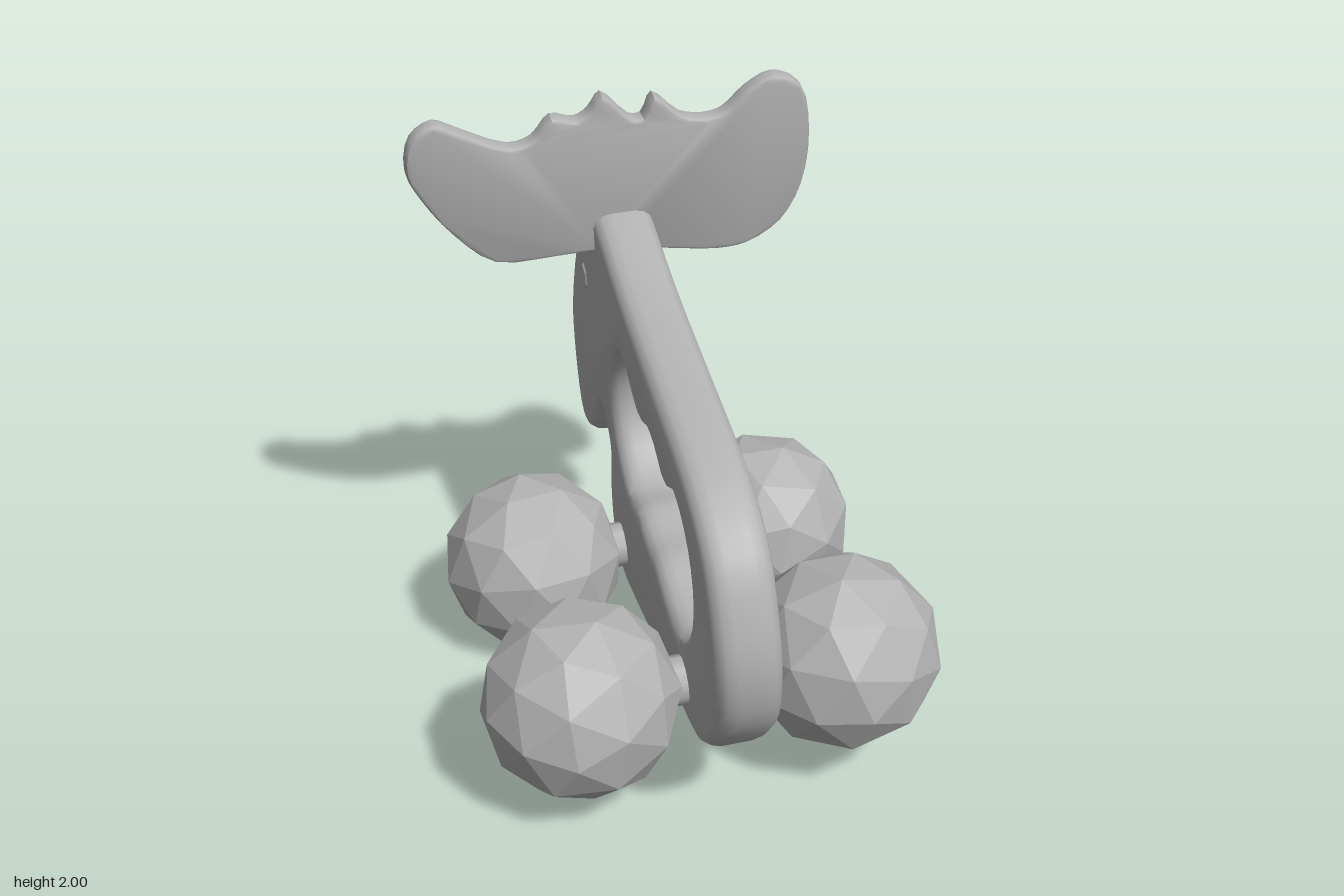
import * as THREE from 'three';
import { toCreasedNormals } from 'three/addons/utils/BufferGeometryUtils.js';

// Toy axes: forward, up and sideways (the toy stands turned and slightly tilted)
const side = new THREE.Vector3(0.776, 0.053, 0.628).normalize();
const up = new THREE.Vector3(0.02, 0.997, -0.108).normalize();
const fwd = new THREE.Vector3().crossVectors(up, side).normalize();
up.crossVectors(side, fwd);
const PLANE = 0.055;

// A point of the body's middle plane, given by world z and y, in toy axes
function onPlane([z, y]) {
  const p = new THREE.Vector3((PLANE - side.y * y - side.z * z) / side.x, y, z);
  return new THREE.Vector2(p.dot(fwd), p.dot(up));
}

// Closed smooth loop through points
function loop(points, count) {
  const curve = new THREE.CatmullRomCurve3(
    points.map((p) => new THREE.Vector3(p.x, p.y, 0)), true, 'centripetal');
  return curve.getPoints(count).slice(0, -1).map((p) => new THREE.Vector2(p.x, p.y));
}

// Rounded slab centred on its own middle plane
function slab(shape, thickness, bevelSize, bevelThickness) {
  const depth = thickness - 2 * bevelThickness;
  const geo = new THREE.ExtrudeGeometry(shape, {
    depth, bevelEnabled: true, bevelSize, bevelThickness, bevelOffset: -bevelSize, bevelSegments: 3,
  });
  return geo.translate(0, 0, -depth / 2);
}

export function createModel() {
  const model = new THREE.Group();
  model.name = 'mooseToy';
  const toy = new THREE.Group();
  toy.name = 'toy';
  toy.matrix.makeBasis(fwd, up, side);
  toy.matrix.decompose(toy.position, toy.quaternion, toy.scale);
  model.add(toy);

  const grey = new THREE.MeshStandardMaterial({ color: 0xb2b2b2 });
  grey.name = 'grey';

  const add = (name, geo, x, y, z) => {
    const mesh = new THREE.Mesh(geo, grey);
    mesh.name = name;
    mesh.position.set(x, y, z);
    toy.add(mesh);
    return mesh;
  };

  // Body, head and front leg in one slab, with the grip hole
  const outline = [
    [0.77, 0.76], [0.744, 0.56], [0.637, 0.38], [0.53, 0.28], [0.4, 0.245], [0.1, 0.22],
    [-0.2, 0.165], [-0.33, 0.155], [-0.42, 0.2], [-0.475, 0.33], [-0.475, 0.49], [-0.45, 0.61],
    [-0.44, 0.68], [-0.49, 0.74], [-0.56, 0.735], [-0.62, 0.67], [-0.68, 0.57], [-0.75, 0.495],
    [-0.83, 0.47], [-0.9, 0.53], [-0.94, 0.7], [-0.935, 0.92], [-0.88, 1.08], [-0.79, 1.26],
    [-0.68, 1.42], [-0.59, 1.52], [-0.5, 1.58], [-0.43, 1.56], [-0.17, 1.45], [0.14, 1.36],
    [0.44, 1.275], [0.57, 1.21], [0.68, 1.1], [0.74, 0.94],
  ];
  const grip = [
    [0.52, 0.85], [0.5, 0.98], [0.43, 1.065], [0.37, 1.08], [0.28, 1.035], [0.18, 1.1],
    [0.11, 1.11], [0.02, 1.08], [-0.06, 1.12], [-0.13, 1.17], [-0.21, 1.17], [-0.29, 1.11],
    [-0.34, 0.98], [-0.33, 0.84], [-0.27, 0.73], [-0.18, 0.665], [-0.08, 0.675], [0.02, 0.64],
    [0.12, 0.635], [0.21, 0.59], [0.3, 0.565], [0.39, 0.575], [0.47, 0.68],
  ];
  const bodyShape = new THREE.Shape(loop(outline.map(onPlane), 100));
  bodyShape.holes.push(new THREE.Path(loop(grip.map(onPlane), 60)));
  add('body', toCreasedNormals(slab(bodyShape, 0.2, 0.045, 0.06), 0.6), 0, 0, PLANE);

  // Eye dimples with a low rim, one on each cheek
  const eye = onPlane([-0.635, 1.225]);
  const eyeProfile = [[0.05, 0], [0.042, 0.006], [0, 0.001]].map((p) => new THREE.Vector2(...p));
  for (const s of [1, -1]) {
    const geo = new THREE.LatheGeometry(eyeProfile, 6).rotateX(s * Math.PI / 2).toNonIndexed();
    geo.computeVertexNormals();
    add(s > 0 ? 'leftEye' : 'rightEye', geo, eye.x, eye.y, PLANE + s * 0.1);
  }

  // Antlers: a thin scalloped plate across the head, leaning back
  const antlerPoints = [
    [-0.22, 1.76], [-0.2, 1.87], [-0.14, 1.92], [-0.085, 1.89], [0.04, 1.82], [0.1, 1.84],
    [0.15, 1.91], [0.21, 1.895], [0.245, 1.92], [0.28, 1.975], [0.35, 1.89], [0.38, 1.89], [0.41, 1.96],
    [0.48, 1.885], [0.54, 1.87], [0.59, 1.885], [0.65, 1.955], [0.72, 2.0], [0.79, 1.96],
    [0.815, 1.79], [0.795, 1.6], [0.74, 1.47], [0.65, 1.395], [0.57, 1.38], [0.43, 1.4],
    [0.3, 1.42], [0.14, 1.41], [-0.02, 1.41], [-0.12, 1.525], [-0.19, 1.66],
  ].map(([x, y]) => {
    const t = (x - 0.3) / side.x;
    return new THREE.Vector2(t, y - 1.66 - side.y * t);
  });
  const antlerGeo = slab(new THREE.Shape(loop(antlerPoints, 90)), 0.075, 0.014, 0.025);
  antlerGeo.rotateY(-Math.PI / 2);
  add('antlers', toCreasedNormals(antlerGeo, 0.6), 0.4, 1.712, 0.035).rotation.z = 0.2;

  // Four faceted ball wheels on short axles
  const wheelGeo = new THREE.IcosahedronGeometry(0.318, 1);
  wheelGeo.computeVertexNormals();
  const axleGeo = new THREE.CylinderGeometry(0.08, 0.08, 0.56, 10).rotateX(Math.PI / 2);
  [['rear', -0.534], ['front', 0.405]].forEach(([name, x], i) => {
    add(name + 'Axle', axleGeo, x, 0.37, 0.05);
    for (const s of [1, -1]) {
      const wheel = add(name + (s > 0 ? 'Left' : 'Right') + 'Wheel', wheelGeo, x, 0.37, 0.05 + s * 0.422);
      wheel.rotation.set(0.4 + i, 0.7 * s, 0.3 + i);
    }
  });
  return model;
}
